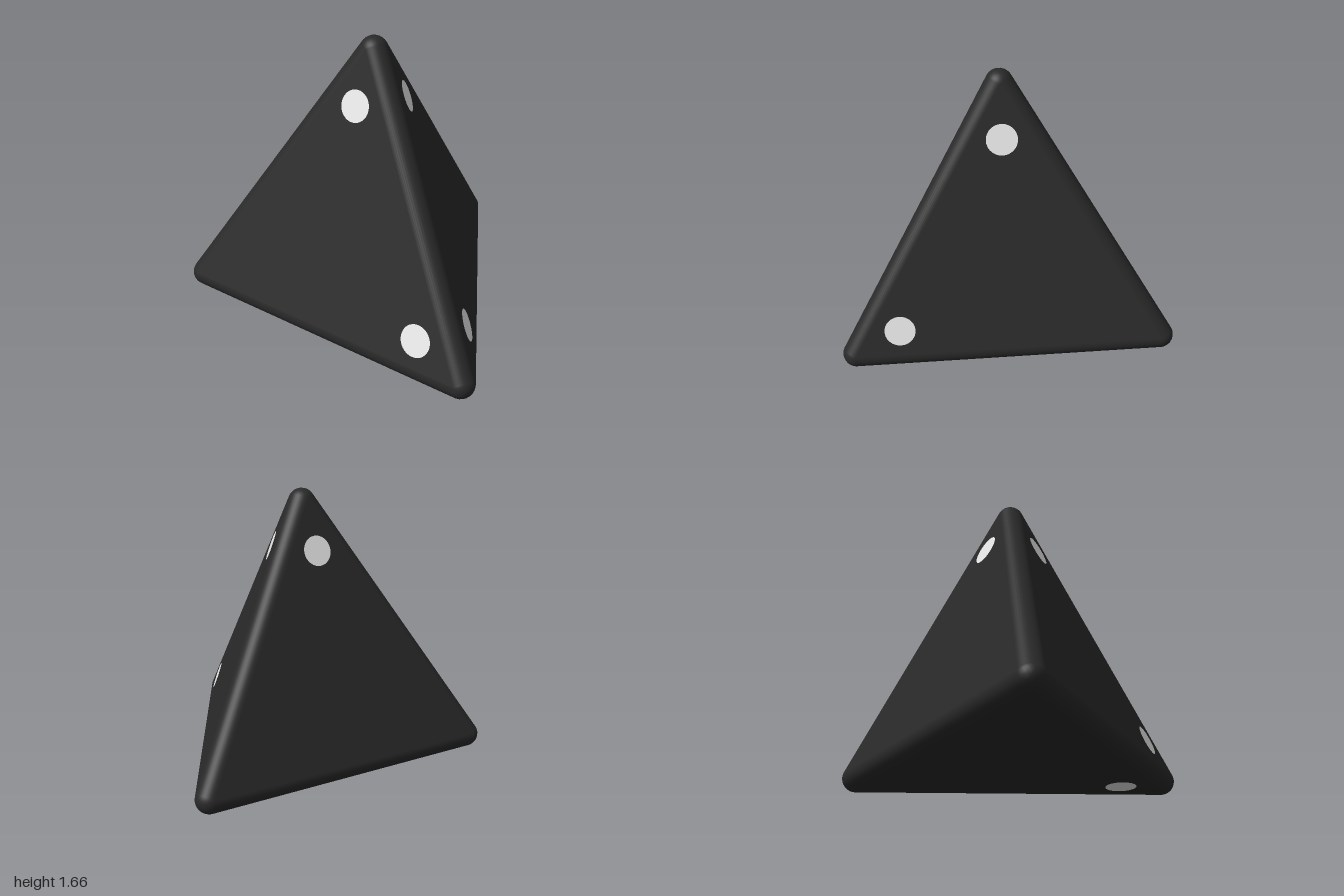
import * as THREE from 'three';

const R = 0.08;      // edge rounding radius
const STEPS = 14;    // subdivisions across a rounded edge
const EDGE = 1.84;   // distance between corner centres

const H = EDGE * Math.sqrt(2 / 3), D = EDGE * Math.sqrt(3) / 2;
// Corner centres: front right of +x, front of -x, back, apex
const corners = [
  new THREE.Vector3(EDGE / 2, R, D / 2),
  new THREE.Vector3(-EDGE / 2, R, D / 2),
  new THREE.Vector3(0, R, -D / 2),
  new THREE.Vector3(0, R + H, D / 2 - D / 3),
];
const centre = corners.reduce((s, c) => s.add(c), new THREE.Vector3()).multiplyScalar(0.25);
// Face i lies opposite corner i
const normals = corners.map(c => centre.clone().sub(c).normalize());
const others = (...skip) => [0, 1, 2, 3].filter(i => !skip.includes(i));

function roundedTetrahedron() {
  const pos = [], nor = [];
  // A point is a corner centre pushed out along its normal
  const tri = (...pts) => {
    const p = pts.map(([c, n]) => c.clone().addScaledVector(n, R));
    const cross = p[1].clone().sub(p[0]).cross(p[2].clone().sub(p[0]));
    const sum = pts[0][1].clone().add(pts[1][1]).add(pts[2][1]);
    const order = cross.dot(sum) > 0 ? [0, 1, 2] : [0, 2, 1];
    for (const i of order) {
      pos.push(...p[i].toArray());
      nor.push(...pts[i][1].toArray());
    }
  };
  const blend = (a, b, c, i, j) => new THREE.Vector3()
    .addScaledVector(normals[a], STEPS - i - j)
    .addScaledVector(normals[b], i)
    .addScaledVector(normals[c], j).normalize();

  for (let k = 0; k < 4; k++) {
    const [a, b, c] = others(k);
    // Flat face
    tri(...[a, b, c].map(i => [corners[i], normals[k]]));
    // Spherical corner
    const at = (i, j) => [corners[k], blend(a, b, c, i, j)];
    for (let i = 0; i < STEPS; i++) for (let j = 0; j < STEPS - i; j++) {
      tri(at(i, j), at(i + 1, j), at(i, j + 1));
      if (i + j < STEPS - 1) tri(at(i + 1, j), at(i + 1, j + 1), at(i, j + 1));
    }
    // Rounded edges
    for (let m = k + 1; m < 4; m++) {
      const [f, g] = others(k, m);
      for (let i = 0; i < STEPS; i++) {
        const n0 = blend(f, g, g, i, 0), n1 = blend(f, g, g, i + 1, 0);
        tri([corners[k], n0], [corners[m], n0], [corners[m], n1]);
        tri([corners[k], n0], [corners[m], n1], [corners[k], n1]);
      }
    }
  }
  const geo = new THREE.BufferGeometry();
  geo.setAttribute('position', new THREE.Float32BufferAttribute(pos, 3));
  geo.setAttribute('normal', new THREE.Float32BufferAttribute(nor, 3));
  return geo;
}

export function createModel() {
  const black = new THREE.MeshStandardMaterial({ color: 0x292929 });
  black.name = 'black';
  const white = new THREE.MeshStandardMaterial({ color: 0xf4f4f4 });
  white.name = 'white';

  const model = new THREE.Group();
  model.name = 'tetrahedronDie';
  const body = new THREE.Mesh(roundedTetrahedron(), black);
  body.name = 'body';
  model.add(body);

  // Round spots on the three faces around the apex and one front corner
  const spotGeo = new THREE.CircleGeometry(0.091, 40);
  for (const corner of [3, 0]) for (const face of others(corner)) {
    const mid = new THREE.Vector3();
    others(face).forEach(i => mid.addScaledVector(corners[i], 1 / 3));
    const spot = new THREE.Mesh(spotGeo, white);
    spot.name = corner === 3 ? 'apexSpot' : 'cornerSpot';
    spot.position.copy(corners[corner]).lerp(mid, 0.296).addScaledVector(normals[face], R + 0.002);
    spot.quaternion.setFromUnitVectors(new THREE.Vector3(0, 0, 1), normals[face]);
    model.add(spot);
  }
  return model;
}
